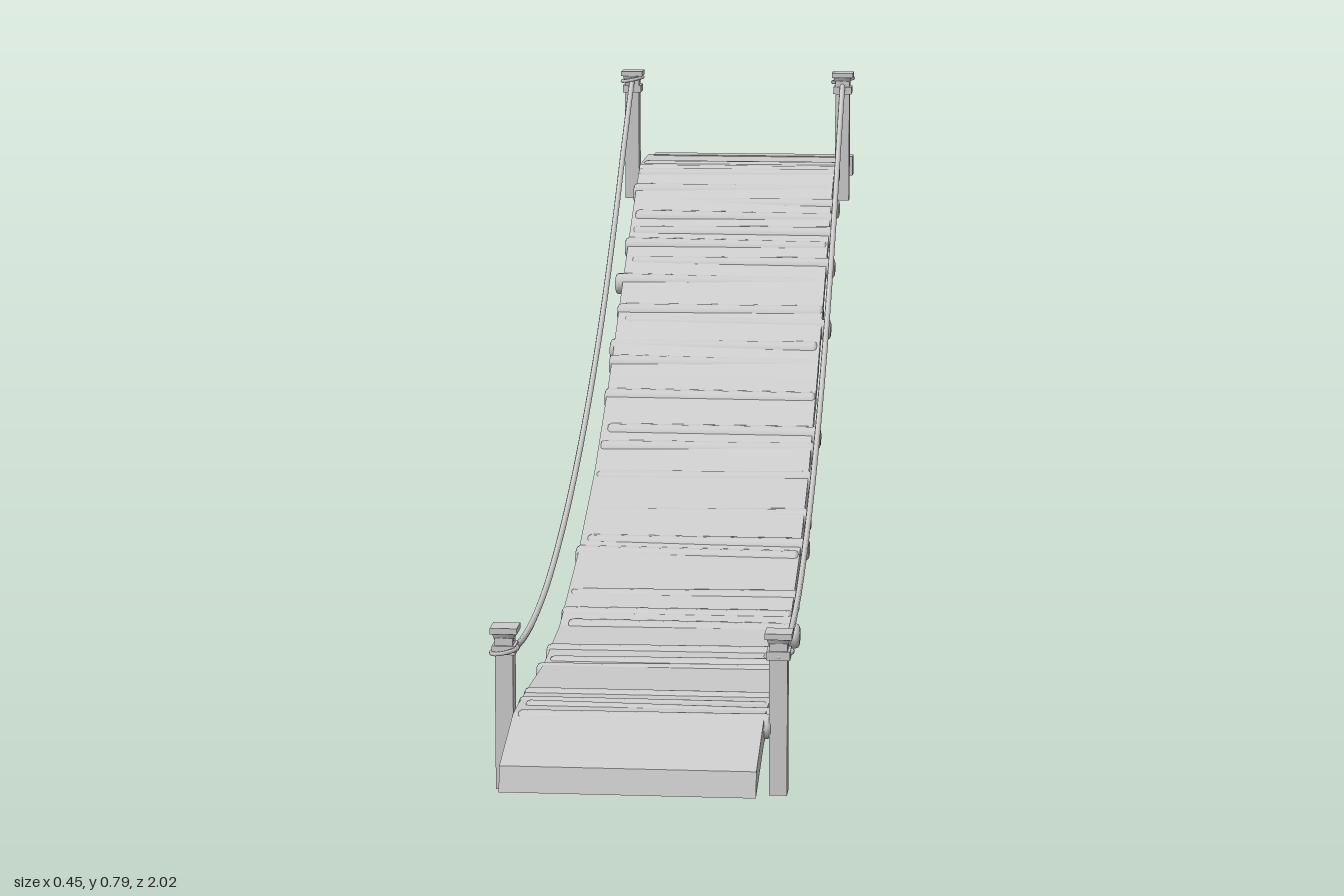
import * as THREE from 'three';

const material = new THREE.MeshStandardMaterial({ color: 0xcccccc });
const SKEW = 0.034; // the whole bridge is turned slightly about y
const THICK = 0.034;

// Top line of the walkway as [z, y], front to back
const TOP = [
  [0.99, 0.069], [0.85, 0.104], [0.7, 0.099], [0.53, 0.09], [0.35, 0.102],
  [0.12, 0.158], [-0.1, 0.238], [-0.32, 0.352], [-0.56, 0.498], [-0.7, 0.58],
  [-0.8, 0.634], [-0.95, 0.635], [-0.995, 0.612],
];

// Sagging line of the hand ropes as [z, y]
const ROPE = [
  [0.845, 0.193], [0.75, 0.168], [0.6, 0.155], [0.4, 0.167], [0.2, 0.207],
  [0, 0.268], [-0.2, 0.35], [-0.4, 0.453], [-0.6, 0.582], [-0.75, 0.69], [-0.88, 0.778],
];

// Positions of the round slats along the walkway
const SLATS = [
  0.85, 0.8, 0.765, 0.72, 0.53, 0.505, 0.45, 0.34, 0.3, 0.24, 0.11, 0.08, 0, -0.1,
  -0.165, -0.2, -0.28, -0.355, -0.39, -0.44, -0.465, -0.53, -0.57, -0.61, -0.64,
  -0.675, -0.71, -0.745, -0.785, -0.83,
];

function makeRandom(seed) {
  return () => {
    seed = (seed * 16807) % 2147483647;
    return seed / 2147483647;
  };
}

function add(group, name, geometry, x = 0, y = 0, z = 0) {
  const mesh = new THREE.Mesh(geometry, material);
  mesh.name = name;
  mesh.position.set(x, y, z);
  group.add(mesh);
  return mesh;
}

// Height and slope of the walkway's top at z
function topAt(z) {
  let i = 0;
  while (i < TOP.length - 2 && TOP[i + 1][0] > z) i++;
  const [z0, y0] = TOP[i];
  const [z1, y1] = TOP[i + 1];
  const slope = (y1 - y0) / (z1 - z0);
  return { y: y0 + (z - z0) * slope, slope };
}

// Side outline of the walkway extruded across its width, then skewed
function deckGeometry(width) {
  const under = TOP.map(([z, y], i) => {
    const a = TOP[Math.max(i - 1, 0)];
    const b = TOP[Math.min(i + 1, TOP.length - 1)];
    const dz = b[0] - a[0];
    const dy = b[1] - a[1];
    const len = Math.hypot(dz, dy);
    return new THREE.Vector2(z + (dy / len) * THICK, y + (dz / len) * THICK);
  });
  const outline = TOP.map(([z, y]) => new THREE.Vector2(z, y)).concat(under.reverse());
  const geometry = new THREE.ExtrudeGeometry(new THREE.Shape(outline), { depth: width, bevelEnabled: false });
  geometry.rotateY(-Math.PI / 2);
  geometry.translate(width / 2, 0, 0);
  const p = geometry.attributes.position;
  for (let i = 0; i < p.count; i++) {
    const x = p.getX(i);
    const z = p.getZ(i);
    p.setX(i, x - SKEW * z);
    p.setZ(i, z + SKEW * x);
  }
  geometry.computeVertexNormals();
  return geometry;
}

// Round slat with softened ends, lying along x
function slatGeometry(radius, length) {
  const h = length / 2;
  const b = radius * 0.35;
  const profile = [
    [0, -h], [radius - b, -h], [radius - b * 0.3, -h + b * 0.3], [radius, -h + b],
    [radius, h - b], [radius - b * 0.3, h - b * 0.3], [radius - b, h], [0, h],
  ].map(([r, y]) => new THREE.Vector2(r, y));
  return new THREE.LatheGeometry(profile, 14).rotateZ(Math.PI / 2);
}

// Square post with collar, tapered neck and flat cap
function makePost(name, x, base, z) {
  const post = new THREE.Group();
  post.name = name;
  add(post, 'postShaft', new THREE.BoxGeometry(0.024, 0.205, 0.028), 0, 0.1025, 0);
  add(post, 'postCollar', new THREE.BoxGeometry(0.031, 0.012, 0.034), 0, 0.189, 0);
  const neck = new THREE.CylinderGeometry(0.022, 0.017, 0.012, 4, 1).rotateY(Math.PI / 4);
  add(post, 'postNeck', neck, 0, 0.206, 0);
  add(post, 'postCap', new THREE.BoxGeometry(0.036, 0.008, 0.036), 0, 0.215, 0);
  post.position.set(x, base, z);
  post.rotation.y = -SKEW;
  return post;
}

// Hand rope with a loop tied round each post
function makeRope(name, xFront, xBack) {
  const rope = new THREE.Group();
  rope.name = name;
  const [zFront, zBack] = [ROPE[0][0], ROPE[ROPE.length - 1][0]];
  const points = ROPE.map(([z, y]) => {
    const t = (zFront - z) / (zFront - zBack);
    return new THREE.Vector3(xFront + (xBack - xFront) * t, y, z);
  });
  add(rope, 'ropeLine', new THREE.TubeGeometry(new THREE.CatmullRomCurve3(points), 64, 0.0045, 8));
  for (const end of [points[0], points[points.length - 1]]) {
    const loop = add(rope, 'ropeLoop', new THREE.TorusGeometry(0.018, 0.003, 6, 20), end.x, end.y - 0.005, end.z);
    loop.rotation.set(Math.PI / 2, 0.2, 0);
  }
  return rope;
}

export function createModel() {
  const bridge = new THREE.Group();
  bridge.name = 'ropeBridge';
  const random = makeRandom(4271);

  add(bridge, 'walkway', deckGeometry(0.332));

  // Slats at uneven spacing, each shifted and tilted a little
  for (const z of SLATS) {
    const { y, slope } = topAt(z);
    const radius = 0.0165 + random() * 0.002;
    const shift = (random() - 0.5) * 0.026;
    const drop = radius - 0.002 - random() * 0.003;
    const n = 1 / Math.hypot(1, slope);
    const slat = add(bridge, 'slat', slatGeometry(radius, 0.336),
      shift - SKEW * z, y - drop * n, z + drop * slope * n);
    slat.rotation.set(0, -SKEW + (random() - 0.5) * 0.05, (random() - 0.5) * 0.02);
  }

  // Square beam under the far landing
  const beam = add(bridge, 'landingBeam', new THREE.BoxGeometry(0.345, 0.033, 0.034), 0.05, 0.62, -0.943);
  beam.rotation.y = -SKEW;

  bridge.add(
    makePost('frontLeftPost', 0.156, 0, 0.848),
    makePost('frontRightPost', -0.206, 0, 0.836),
    makePost('backLeftPost', 0.205, 0.568, -0.872),
    makePost('backRightPost', -0.156, 0.568, -0.884),
    makeRope('leftRope', 0.156, 0.205),
    makeRope('rightRope', -0.206, -0.156),
  );
  return bridge;
}
